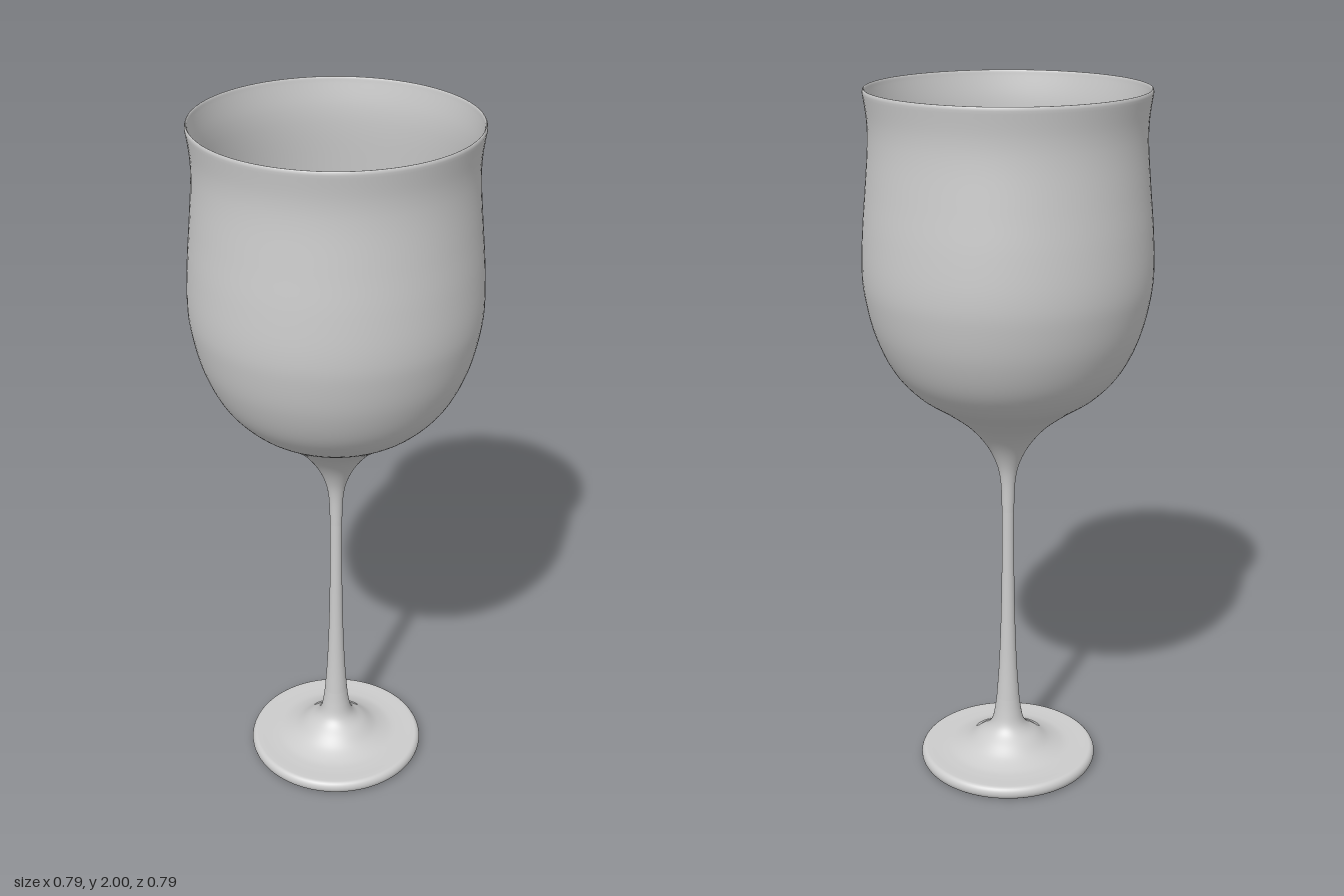
import * as THREE from 'three';

const SEGMENTS = 96;
const material = new THREE.MeshStandardMaterial({ color: 0xcccccc });

// Smooth curve through [radius, height] pairs
function smooth(pairs, samples) {
  const curve = new THREE.SplineCurve(pairs.map(([r, y]) => new THREE.Vector2(r, y)));
  return curve.getPoints(samples).map((p) => new THREE.Vector2(Math.max(p.x, 0), p.y));
}

// Half-ellipse of profile points from startAngle, turning counter-clockwise
function halfRound(cx, cy, rx, ry, startAngle, steps) {
  return Array.from({ length: steps + 1 }, (_, i) => {
    const a = startAngle + (i / steps) * Math.PI;
    return new THREE.Vector2(cx + rx * Math.cos(a), cy + ry * Math.sin(a));
  });
}

// Surface of revolution; the profile runs up the outside and down the inside
function turned(name, profile) {
  const mesh = new THREE.Mesh(new THREE.LatheGeometry(profile, SEGMENTS), material);
  mesh.name = name;
  return mesh;
}

export function createModel() {
  const glass = new THREE.Group();
  glass.name = 'wineGlass';

  // Flat underside of the foot
  const underside = new THREE.Mesh(new THREE.CircleGeometry(0.245, SEGMENTS), material);
  underside.name = 'footUnderside';
  underside.rotation.x = Math.PI / 2;
  glass.add(underside);

  // Foot: fully rounded disc edge flaring up into the stem
  const footEdge = halfRound(0.245, 0.019, 0.016, 0.019, -Math.PI / 2, 14);
  const footTop = smooth([
    [0.235, 0.0378], [0.2, 0.037], [0.165, 0.04], [0.125, 0.055], [0.09, 0.08],
    [0.062, 0.101], [0.047, 0.124], [0.039, 0.16], [0.034, 0.2],
  ], 50);
  glass.add(turned('foot', [...footEdge, ...footTop]));

  // Slender stem
  const stem = smooth([
    [0.034, 0.2], [0.027, 0.3], [0.022, 0.42], [0.019, 0.55], [0.0175, 0.68], [0.0175, 0.8],
  ], 24);
  glass.add(turned('stem', stem));

  // Bowl: outer wall, rounded flared lip, then the thin-walled hollow inside
  const outer = smooth([
    [0.0175, 0.8], [0.021, 0.89], [0.034, 0.95], [0.065, 1.01], [0.115, 1.068],
    [0.185, 1.122], [0.26, 1.174], [0.322, 1.245], [0.366, 1.34], [0.39, 1.44],
    [0.397, 1.52], [0.392, 1.63], [0.382, 1.74], [0.373, 1.85], [0.373, 1.92], [0.382, 1.99],
  ], 90);
  const lip = halfRound(0.3785, 1.99, 0.0035, 0.01, 0, 8).slice(1, -1);
  const inner = smooth([
    [0.375, 1.99], [0.366, 1.92], [0.366, 1.85], [0.375, 1.74], [0.385, 1.63],
    [0.39, 1.52], [0.382, 1.44], [0.358, 1.345], [0.315, 1.253], [0.254, 1.184],
    [0.18, 1.134], [0.11, 1.09], [0.05, 1.063], [0, 1.055],
  ], 80);
  glass.add(turned('bowl', [...outer, ...lip, ...inner]));

  return glass;
}
